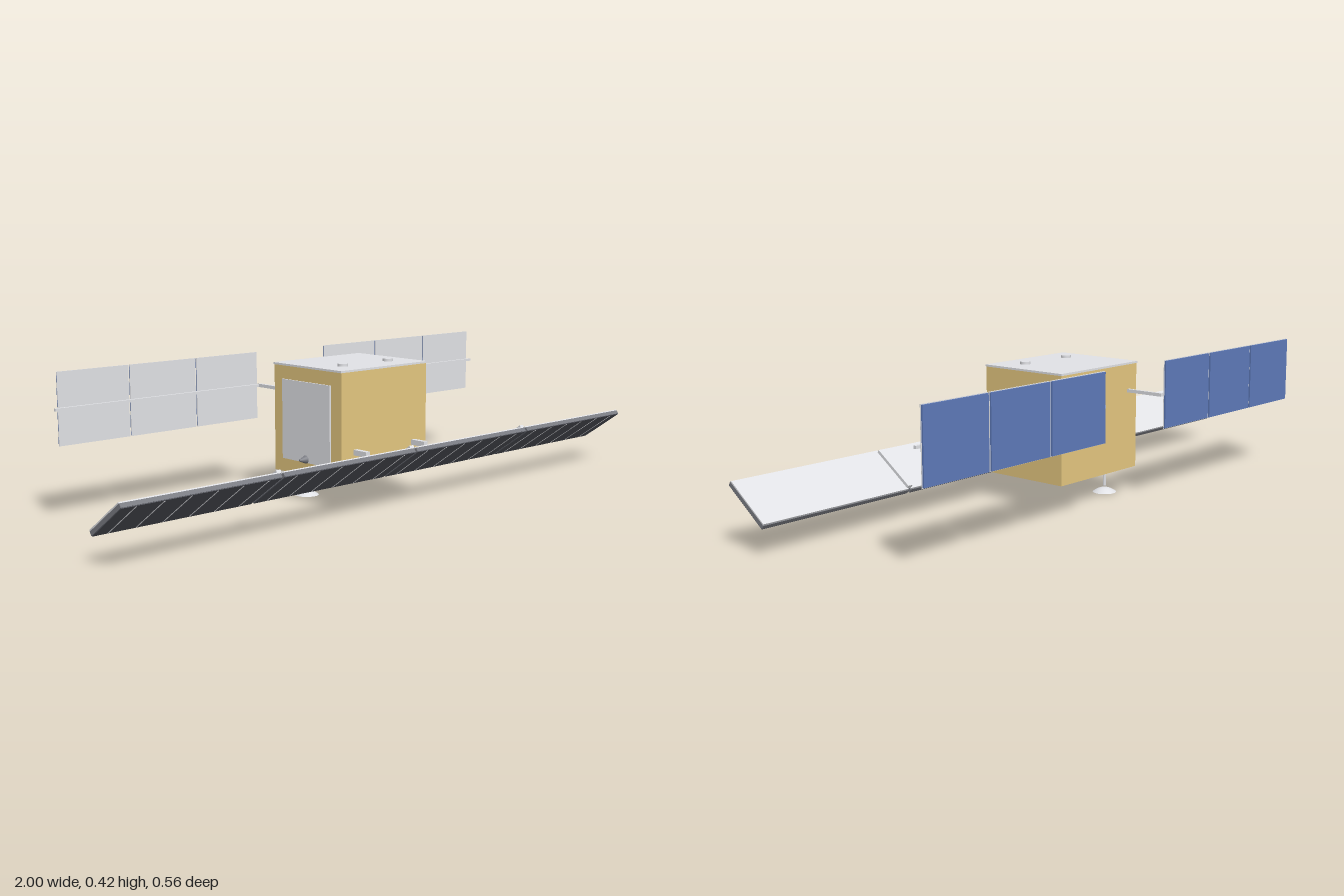
import * as THREE from 'three';

const mat = (name, color) => {
  const m = new THREE.MeshStandardMaterial({ color });
  m.name = name;
  return m;
};

export function createModel() {
  const gold = mat('gold foil', 0xe3c67f);
  const grey = mat('pale metal', 0xe0e1e5);
  const mid = mat('mid grey', 0x7a7c83);
  const dark = mat('dark antenna face', 0x50525a);
  const blue = mat('solar blue', 0x5d79b8);
  const dishMat = mat('dish grey', 0xe0e1e5);
  dishMat.side = THREE.DoubleSide;

  const model = new THREE.Group();
  model.name = 'satellite';
  const add = (parent, name, geo, material, x, y, z) => {
    const m = new THREE.Mesh(geo, material);
    m.name = name;
    m.position.set(x, y, z);
    parent.add(m);
    return m;
  };
  const box = (parent, name, material, w, h, d, x, y, z) =>
    add(parent, name, new THREE.BoxGeometry(w, h, d), material, x, y, z);

  // Body with lid and side radiator
  box(model, 'body', gold, 0.35, 0.321, 0.294, 0, 0.2395, 0.002);
  box(model, 'topPlate', grey, 0.354, 0.006, 0.297, 0, 0.403, 0.0015);
  box(model, 'radiator', grey, 0.005, 0.24, 0.21, -0.1775, 0.24, 0);

  // Small side thruster
  const thruster = add(model, 'sideThruster', new THREE.CylinderGeometry(0.003, 0.013, 0.026, 16), mid, -0.192, 0.13, 0);
  thruster.rotation.z = Math.PI / 2;

  // Mirrored fittings and solar wings
  for (const s of [-1, 1]) {
    add(model, 'topSensor', new THREE.CylinderGeometry(0.0155, 0.0155, 0.008, 20), grey, s * 0.093, 0.41, 0.067);
    box(model, 'frontStrut', grey, 0.016, 0.016, 0.056, s * 0.12, 0.165, 0.174);

    const wing = new THREE.Group();
    wing.name = s > 0 ? 'leftSolarWing' : 'rightSolarWing';
    model.add(wing);
    box(wing, 'wingArm', grey, 0.01, 0.01, 0.127, s * 0.135, 0.32, -0.2075);
    box(wing, 'wingSpar', grey, 0.716, 0.008, 0.009, s * 0.492, 0.32, -0.2668);
    for (let i = 0; i < 3; i++) {
      const x = s * (0.255 + i * 0.2335);
      box(wing, 'wingBacking', grey, 0.229, 0.206, 0.002, x, 0.32, -0.2735);
      box(wing, 'solarCells', blue, 0.225, 0.202, 0.005, x, 0.32, -0.277);
    }
  }

  // Tilted radar antenna: local z runs up its width, local y points out of its back
  const antenna = new THREE.Group();
  antenna.name = 'radarAntenna';
  antenna.position.set(0, 0.1205, 0.2135);
  antenna.rotation.x = -THREE.MathUtils.degToRad(35);
  model.add(antenna);
  for (let p = 0; p < 4; p++) {
    const x = (p - 1.5) * 0.502;
    box(antenna, 'antennaSlab', mid, 0.494, 0.012, 0.164, x, 0.008, 0);
    box(antenna, 'antennaFace', dark, 0.492, 0.002, 0.162, x, 0.001, 0);
    box(antenna, 'antennaBack', grey, 0.494, 0.004, 0.16, x, 0.016, 0);
    for (let i = 0; i < 6; i++) {
      box(antenna, 'antennaRib', grey, 0.003, 0.001, 0.155, x + (i - 2.5) * 0.081, -0.0004, 0);
    }
  }
  for (const x of [-0.502, 0, 0.502]) {
    box(antenna, 'antennaHinge', grey, 0.016, 0.01, 0.15, x, 0.022, -0.002);
  }

  // Downward dish on a short mast
  add(model, 'dishMast', new THREE.CylinderGeometry(0.005, 0.005, 0.062, 12), grey, -0.107, 0.05, -0.078);
  const profile = [];
  for (let i = 8; i >= 0; i--) {
    const t = i / 8;
    profile.push(new THREE.Vector2(0.0365 * t, 0.014 * (1 - t * t)));
  }
  add(model, 'dish', new THREE.LatheGeometry(profile, 28), dishMat, -0.107, 0, -0.0785);

  return model;
}
